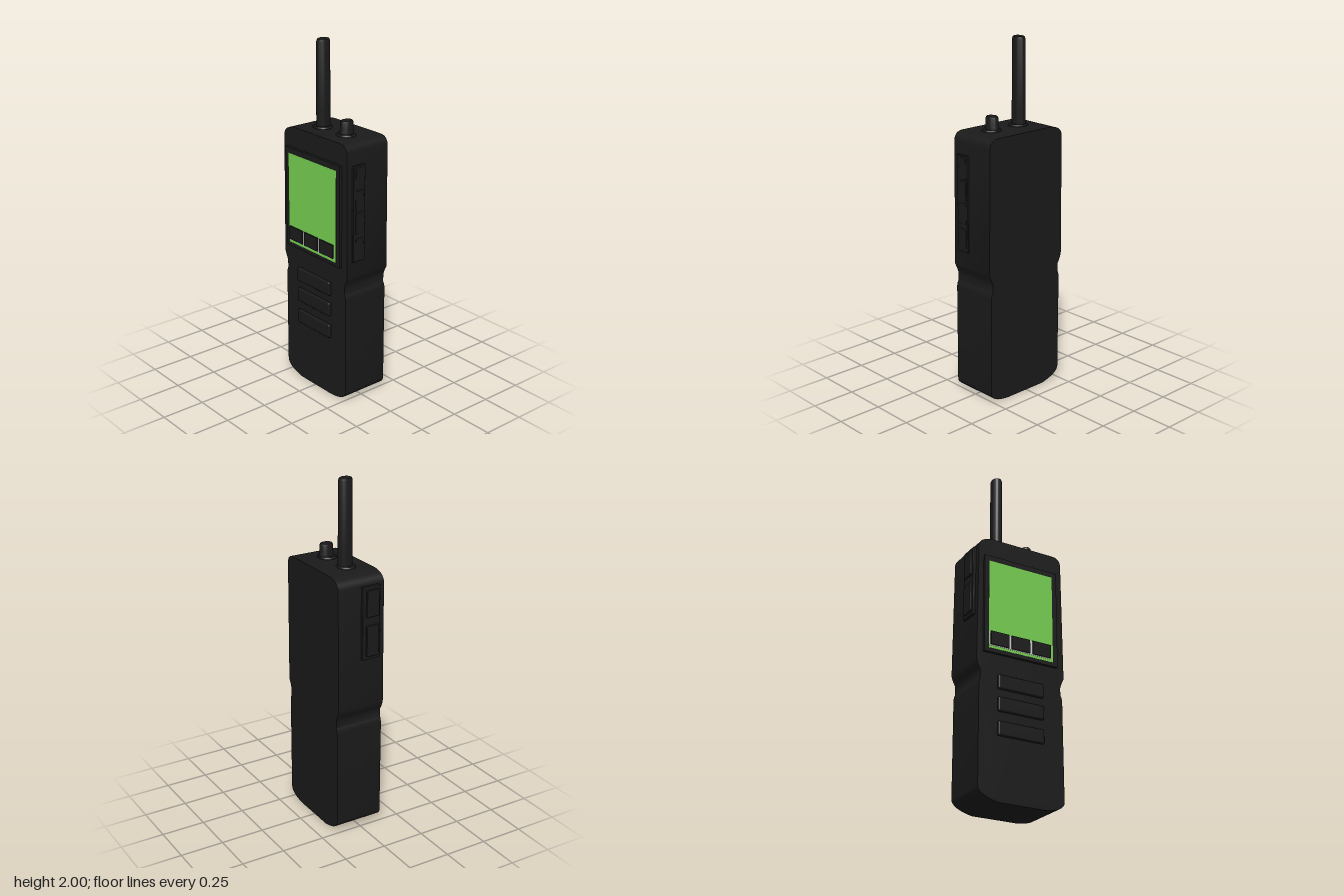
import * as THREE from 'three';
import { toCreasedNormals } from 'three/addons/utils/BufferGeometryUtils.js';
import { RoundedBoxGeometry } from 'three/addons/geometries/RoundedBoxGeometry.js';

export function createModel() {
  const model = new THREE.Group();
  const material = (name, color) => {
    const m = new THREE.MeshStandardMaterial({ color });
    m.name = name;
    return m;
  };
  const casing = material('black plastic', 0x1a1a1a);
  const green = material('screen green', 0x76d052);
  const pale = material('pale grey trim', 0xd0d0d0);

  const add = (name, geometry, mat = casing) => {
    const mesh = new THREE.Mesh(geometry, mat);
    mesh.name = name;
    model.add(mesh);
    return mesh;
  };

  // Box given by its limits on each axis, with softened edges when r > 0
  const block = (name, [x0, x1], [y0, y1], [z0, z1], r = 0, mat = casing) => {
    const size = [x1 - x0, y1 - y0, z1 - z0];
    const geometry = r ? new RoundedBoxGeometry(...size, 2, r) : new THREE.BoxGeometry(...size);
    geometry.translate((x0 + x1) / 2, (y0 + y1) / 2, (z0 + z1) / 2);
    return add(name, geometry, mat);
  };

  // Body: side profile (z, y) with a pinched waist, extruded across the width
  const p = new THREE.Shape();
  p.moveTo(0.14, 0);
  p.quadraticCurveTo(0.265, 0.008, 0.267, 0.06);
  p.lineTo(0.265, 0.62);
  p.quadraticCurveTo(0.265, 0.645, 0.254, 0.66);
  p.lineTo(0.254, 0.7);
  p.quadraticCurveTo(0.254, 0.715, 0.277, 0.76);
  p.lineTo(0.27, 1.46);
  p.quadraticCurveTo(0.268, 1.51, 0.215, 1.512);
  p.lineTo(-0.17, 1.512);
  p.quadraticCurveTo(-0.255, 1.505, -0.26, 1.455);
  p.lineTo(-0.267, 0.77);
  p.quadraticCurveTo(-0.265, 0.745, -0.243, 0.71);
  p.lineTo(-0.243, 0.66);
  p.quadraticCurveTo(-0.252, 0.645, -0.252, 0.62);
  p.lineTo(-0.252, 0.07);
  p.quadraticCurveTo(-0.25, 0.025, -0.13, 0);
  p.closePath();
  const body = new THREE.ExtrudeGeometry(p, { depth: 0.284, bevelEnabled: false, curveSegments: 8 });
  body.rotateY(-Math.PI / 2).translate(0.154, 0, 0);
  add('body', toCreasedNormals(body, 0.6));

  // Display panel, screen, and a row of keys on a pale backing that shows as thin outlines
  block('displayFrame', [-0.146, -0.12], [0.815, 1.395], [-0.23, 0.23]);
  block('screen', [-0.147, -0.145], [0.838, 1.363], [-0.203, 0.2], 0, green);
  block('keyBacking', [-0.1485, -0.1465], [0.853, 0.932], [-0.2, 0.187], 0, pale);
  for (const [z0, z1] of [[-0.193, -0.08], [-0.064, 0.05], [0.067, 0.182]]) {
    block('displayKey', [-0.155, -0.14], [0.858, 0.936], [z0, z1]);
  }

  // Speaker bars
  for (const y of [0.658, 0.532, 0.397]) {
    block('speakerBar', [-0.147, -0.12], [y - 0.04, y + 0.04], [-0.14, 0.14], 0.008);
  }

  // Front key strip
  block('frontKeyStrip', [-0.095, -0.013], [0.85, 1.395], [0.25, 0.284], 0.003);
  for (const [y0, y1] of [[1.263, 1.384], [1.138, 1.255], [1.012, 1.13], [0.862, 0.985]]) {
    block('frontKey', [-0.08, -0.024], [y0, y1], [0.26, 0.286], 0.003);
  }

  // Rear key strip with two large keys
  block('rearKeyStrip', [-0.098, 0.012], [1.04, 1.455], [-0.277, -0.24], 0.003);
  for (const [y0, y1] of [[1.285, 1.435], [1.06, 1.235]]) {
    block('rearKey', [-0.086, -0.009], [y0, y1], [-0.289, -0.25], 0.004);
  }

  // Turned parts on top, flattened front to back; profile points are (radius, y)
  const turned = (name, x, z, depthScale, profile) => {
    const points = profile.map(([r, y]) => new THREE.Vector2(r, y));
    const geometry = new THREE.LatheGeometry(points, 32).scale(1, 1, depthScale);
    add(name, toCreasedNormals(geometry.toNonIndexed(), 0.6)).position.set(x, 0, z);
  };
  const collar = [[0.053, 1.505], [0.053, 1.514], [0.046, 1.522], [0, 1.522]];
  turned('antennaCollar', -0.005, -0.08, 1.07, collar);
  turned('knobCollar', -0.005, 0.115, 1.07, collar);
  turned('antenna', 0, -0.08, 0.78,
    [[0.042, 1.515], [0.042, 1.62], [0.04, 1.985], [0.036, 1.996], [0.028, 2], [0, 2]]);
  turned('knob', 0, 0.115, 0.8,
    [[0.043, 1.515], [0.043, 1.535], [0.038, 1.55], [0.038, 1.584], [0.034, 1.592], [0, 1.592]]);

  return model;
}
